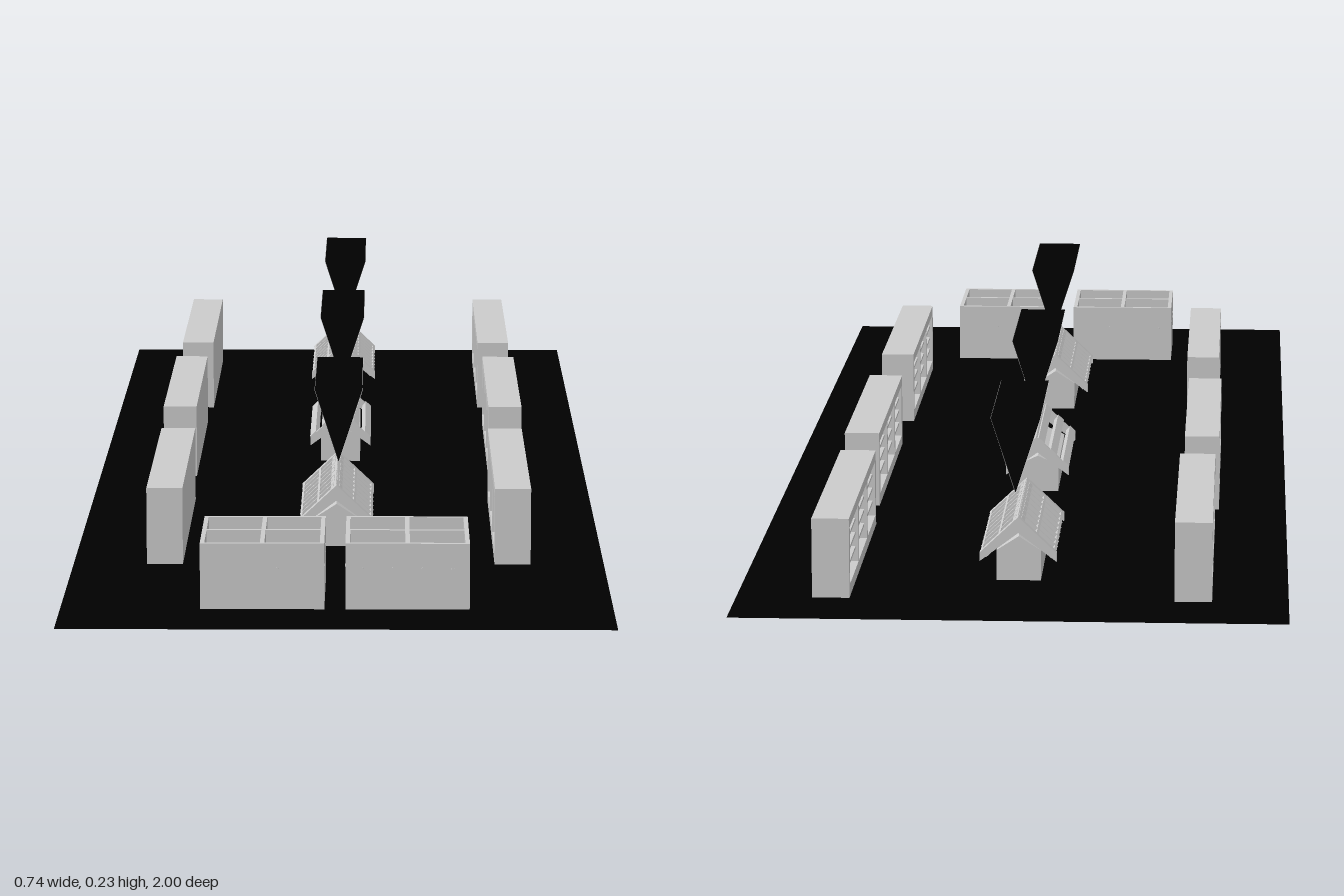
import * as THREE from 'three';

const grey = new THREE.MeshStandardMaterial({ color: 0xcccccc, flatShading: true, side: THREE.DoubleSide });
const black = new THREE.MeshStandardMaterial({ color: 0x000000, flatShading: true, side: THREE.DoubleSide });

function add(parent, name, geometry, x = 0, y = 0, z = 0, material = grey) {
  const mesh = new THREE.Mesh(geometry, material);
  mesh.name = name;
  mesh.position.set(x, y, z);
  parent.add(mesh);
  return mesh;
}
const box = (w, h, d) => new THREE.BoxGeometry(w, h, d);
const outline = (points) => new THREE.Shape(points.map(([x, y]) => new THREE.Vector2(x, y)));
const prism = (points, length) =>
  new THREE.ExtrudeGeometry(outline(points), { depth: length, bevelEnabled: false }).translate(0, 0, -length / 2);

function group(name, x, y, z) {
  const g = new THREE.Group();
  g.name = name;
  g.position.set(x, y, z);
  return g;
}

// Shelving unit: three open bays facing -x, each with thin boards
function shelfUnit(x, y, z) {
  const g = group('shelfUnit', x, y, z);
  const L = 0.415, H = 0.108, D = 0.05, bay = 0.123;
  const face = outline([[-L / 2, 0], [L / 2, 0], [L / 2, H], [-L / 2, H]]);
  const bays = [-1, 0, 1].map((i) => i * (bay + 0.01));
  for (const c of bays) {
    const hole = new THREE.Path();
    hole.moveTo(c - bay / 2, 0.016).lineTo(c - bay / 2, 0.094);
    hole.lineTo(c + bay / 2, 0.094).lineTo(c + bay / 2, 0.016).closePath();
    face.holes.push(hole);
  }
  const frame = new THREE.ExtrudeGeometry(face, { depth: D - 0.008, bevelEnabled: false });
  add(g, 'shelfFrame', frame.rotateY(-Math.PI / 2), D / 2 - 0.008, 0, 0);
  add(g, 'shelfBack', box(0.008, H, L), D / 2 - 0.004, H / 2, 0);
  for (const c of bays)
    for (let k = 1; k <= 3; k++) add(g, 'shelfBoard', box(0.038, 0.004, bay), -0.002, 0.016 + k * 0.0195, c);
  return g;
}

// Square bin split into four compartments, with a row of studs on each side
function bin(x, z) {
  const g = group('bin', x, 0, z);
  const W = 0.165, H = 0.09, t = 0.006;
  add(g, 'binBase', box(W, 0.05, W), 0, 0.025, 0);
  for (const s of [-1, 0, 1]) {
    add(g, 'binWall', box(t, H, W), s * (W - t) / 2, H / 2, 0);
    add(g, 'binWall', box(W, H, t), 0, H / 2, s * (W - t) / 2);
  }
  const stud = new THREE.CylinderGeometry(0.0025, 0.0025, 0.001, 8).rotateX(Math.PI / 2);
  for (let side = 0; side < 4; side++) {
    const row = group('studRow', 0, 0.055, 0);
    row.rotation.y = side * Math.PI / 2;
    for (const i of [-1.5, -0.5, 0.5, 1.5]) add(row, 'stud', stud, i * 0.04, 0, W / 2);
    g.add(row);
  }
  return g;
}

// Gabled display stand: ribbed panels, or open rails running lengthwise
function stand(z, ribbed) {
  const g = group(ribbed ? 'ribbedStand' : 'railStand', -0.004, 0, z);
  const L = 0.24, half = ribbed ? 0.052 : 0.046, top = ribbed ? 0.093 : 0.085, eave = top - half * 0.95;
  const angle = Math.atan(0.95), len = Math.hypot(half, top - eave);
  add(g, 'standBody', prism([[-0.03, 0.002], [0.03, 0.002], [0.03, eave], [0, top - 0.03], [-0.03, eave]], L - 0.03));
  // Chevron frames at both ends
  const chevron = [[-half, eave - 0.012], [0, top - 0.022], [half, eave - 0.012], [half, eave], [0, top], [-half, eave]];
  for (const s of [-1, 1]) add(g, 'endFrame', prism(chevron, 0.008), 0, 0, s * (L / 2 - 0.004));
  for (const s of [-1, 1]) {
    const slope = group('slope', s * half / 2, (top + eave) / 2, 0);
    slope.rotation.z = -s * angle;
    if (ribbed) {
      add(slope, 'panel', box(len, 0.006, L - 0.016), 0, -0.009, 0);
      for (let i = 0; i < 9; i++) add(slope, 'rib', box(len, 0.008, 0.004), 0, -0.004, (i - 4) * 0.0275);
      for (const e of [-1, 0, 1]) add(slope, 'rail', box(0.004, 0.008, L), e * (len / 2 - 0.003), -0.004, 0);
    } else {
      for (const e of [-1, 0, 1]) add(slope, 'rail', box(0.012, 0.008, L), e * (len / 2 - 0.007), -0.002, 0);
    }
    g.add(slope);
  }
  return g;
}

// Hanging wedge: grey sloping sides, black top and ends
function hangingSign(z) {
  const g = group('hangingSign', -0.001, 0, z);
  const L = 0.25, w = 0.033, low = 0.128, high = 0.23;
  add(g, 'signCore', prism([[0, low], [w, high], [-w, high]], L), 0, 0, 0, black);
  const slant = Math.hypot(w, high - low);
  for (const s of [-1, 1]) {
    const side = add(g, 'signSide', new THREE.PlaneGeometry(L, slant).rotateY(s * Math.PI / 2),
      s * (w / 2 + 0.0006), (low + high) / 2, 0);
    side.rotation.z = -s * Math.atan(w / (high - low));
  }
  return g;
}

export function createModel() {
  const model = new THREE.Group();
  model.name = 'shopFloor';

  add(model, 'floor', new THREE.PlaneGeometry(0.735, 2).rotateX(-Math.PI / 2), 0, 0.0005, 0, black);

  // Two rows of shelving, the middle pair slightly further out
  for (const [z, out, y] of [[0.425, 0, 0], [-0.153, 0.005, 0], [-0.685, 0, 0.001]])
    for (const s of [-1, 1]) model.add(shelfUnit(s * (0.241 + out), y, z));

  // Centre aisle
  [0.423, -0.157, -0.686].forEach((z, i) => {
    model.add(stand(z, i !== 1));
    model.add(hangingSign(z));
  });

  model.add(bin(-0.099, 0.808), bin(0.094, 0.808));
  return model;
}
